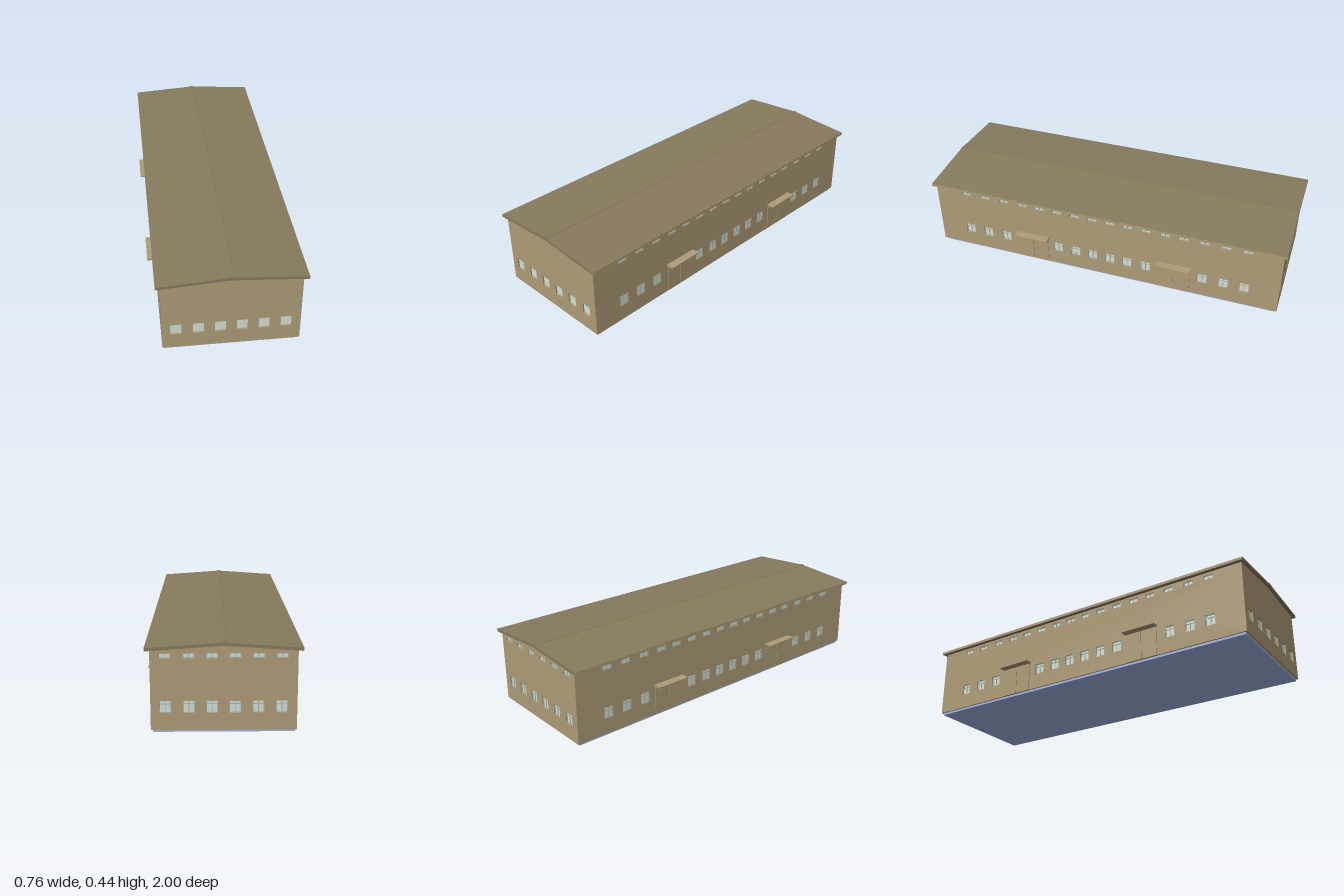
import * as THREE from 'three';

const mat = (color) => new THREE.MeshStandardMaterial({ color });
const wallMat = mat(0xae9c78);
const roofMat = mat(0x877a5d);
const glassMat = mat(0xd2e0d6);
const frameMat = mat(0xa9b5ac);
const slabMat = mat(0xa0b2e4);

const HX = 0.338, HZ = 0.985;      // half width and half length of the walls
const Y0 = 0.012, EAVE = 0.396, PEAK = 0.419;
const T = 0.016;                   // wall thickness
const LOW = { y: 0.125, h: 0.06 }; // ground floor windows
const HIGH = { y: 0.368, h: 0.024 }; // clerestory windows
const W = 0.054;

function box(name, size, pos, material, parent) {
  const mesh = new THREE.Mesh(new THREE.BoxGeometry(...size), material);
  mesh.position.set(...pos);
  mesh.name = name;
  parent.add(mesh);
  return mesh;
}

// Recessed glass, with an optional sash, outer wall face at z = 0
function addWindow(parent, u, { y, h }, sash) {
  const win = new THREE.Group();
  win.name = 'window';
  win.position.set(u, y, 0);
  box('glass', [W, h, 0.003], [0, 0, -0.009], glassMat, win);
  if (sash) {
    const b = 0.0035, d = 0.005, z = -0.007;
    for (const s of [-1, 1]) {
      box('frameSide', [b, h, d], [s * (W - b) / 2, 0, z], frameMat, win);
      box('frameRail', [W, b, d], [0, s * (h - b) / 2, z], frameMat, win);
    }
    box('mullion', [b, h, d], [0, 0, z], frameMat, win);
    if (h > 0.04) box('transom', [W, b, d], [0, h * 0.22, z], frameMat, win);
  }
  parent.add(win);
}

// Wall panel with window openings, drawn in its own plane
function makeWall(name, outline, openings, sash) {
  const group = new THREE.Group();
  group.name = name;
  const shape = new THREE.Shape(outline.map(([x, y]) => new THREE.Vector2(x, y)));
  for (const [u, kind] of openings) {
    const a = u - W / 2, b = u + W / 2, c = kind.y - kind.h / 2, d = kind.y + kind.h / 2;
    shape.holes.push(new THREE.Path([[a, c], [a, d], [b, d], [b, c]].map((p) => new THREE.Vector2(...p))));
    addWindow(group, u, kind, sash);
  }
  const geo = new THREE.ExtrudeGeometry(shape, { depth: T, bevelEnabled: false });
  geo.translate(0, 0, -T);
  const mesh = new THREE.Mesh(geo, wallMat);
  mesh.name = 'wallPanel';
  group.add(mesh);
  return group;
}

// Double door with a flat canopy
function addEntrance(parent, u) {
  const door = new THREE.Group();
  door.name = 'entrance';
  door.position.x = u;
  for (const s of [-1, 1]) {
    box('doorLeaf', [0.089, 0.16, 0.005], [s * 0.0455, Y0 + 0.08, 0.001], wallMat, door);
  }
  box('canopy', [0.192, 0.008, 0.044], [0, 0.176, 0.021], wallMat, door);
  parent.add(door);
}

function addRoof(parent) {
  const roof = new THREE.Group();
  roof.name = 'roof';
  const half = [[0, 0.418], [0.358, 0.393], [0.361, 0.408], [0, 0.433]];
  for (const s of [-1, 1]) {
    const shape = new THREE.Shape(half.map(([x, y]) => new THREE.Vector2(s * x, y)));
    const geo = new THREE.ExtrudeGeometry(shape, { depth: 2, bevelEnabled: false });
    geo.translate(0, 0, -1);
    const slope = new THREE.Mesh(geo, roofMat);
    slope.name = 'roofSlope';
    roof.add(slope);
    // pale fascia along the eave
    box('fascia', [0.003, 0.014, 2], [s * 0.3605, 0.4005, 0], wallMat, roof);
  }
  // low ridge cap
  const cap = new THREE.Shape([[-0.013, 0.431], [0.013, 0.431], [0.012, 0.4345], [0, 0.436], [-0.012, 0.4345]]
    .map((p) => new THREE.Vector2(...p)));
  const capGeo = new THREE.ExtrudeGeometry(cap, { depth: 2, bevelEnabled: false });
  capGeo.translate(0, 0, -1);
  const ridge = new THREE.Mesh(capGeo, roofMat);
  ridge.name = 'ridgeCap';
  roof.add(ridge);
  parent.add(roof);
}

export function createModel() {
  const model = new THREE.Group();
  model.name = 'hall';

  box('foundation', [0.66, Y0, 1.95], [0, Y0 / 2, 0], slabMat, model);
  box('floor', [HX * 2 - 0.002, 0.004, HZ * 2 - 0.002], [0, Y0 + 0.002, 0], wallMat, model);

  // Gable walls: the back one also has clerestory windows
  const gable = [[-HX, Y0], [HX, Y0], [HX, EAVE], [0, PEAK], [-HX, EAVE]];
  const ends = [-0.27, -0.161, -0.054, 0.052, 0.159, 0.267];
  const lowEnds = ends.map((u) => [u, LOW]);
  const front = makeWall('frontWall', gable, lowEnds, false);
  front.position.z = HZ;
  const back = makeWall('backWall', gable, [...lowEnds, ...ends.map((u) => [u, HIGH])], true);
  back.position.z = -HZ;
  back.rotation.y = Math.PI;
  model.add(front, back);

  // Long walls with two entrances each
  const L = HZ - T;
  const rect = [[-L, Y0], [L, Y0], [L, EAVE], [-L, EAVE]];
  const halfLow = [0.05, 0.15, 0.255, 0.572, 0.687, 0.8];
  const halfHigh = [0.05, 0.15, 0.255, 0.36, 0.46, 0.572, 0.687, 0.8];
  const sides = [];
  for (const s of [-1, 1]) {
    for (const u of halfLow) sides.push([s * u, LOW]);
    for (const u of halfHigh) sides.push([s * u, HIGH]);
  }
  for (const s of [-1, 1]) {
    const wall = makeWall(s > 0 ? 'leftWall' : 'rightWall', rect, sides, true);
    wall.position.x = s * HX;
    wall.rotation.y = s * Math.PI / 2;
    // entrances centred at z = 0.405 and z = -0.415
    for (const z of [0.405, -0.415]) addEntrance(wall, -s * z);
    model.add(wall);
  }

  addRoof(model);
  return model;
}
